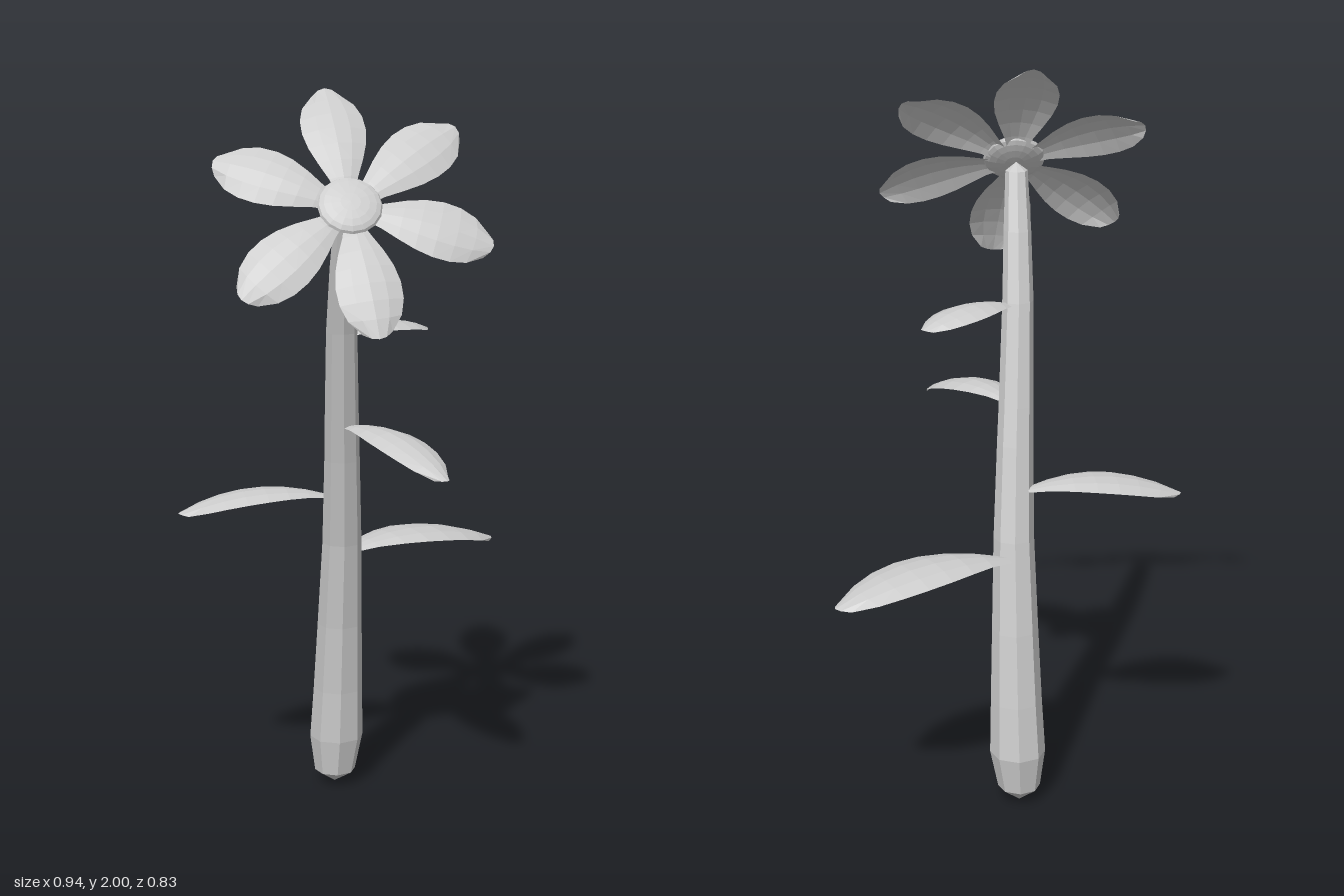
import * as THREE from 'three';

const material = new THREE.MeshStandardMaterial({ color: 0xcccccc, flatShading: true, side: THREE.DoubleSide });

// Surface through a grid of points: rows x cols, fn(row, col) -> Vector3
function gridSurface(rows, cols, fn) {
  const pos = [], idx = [];
  for (let i = 0; i < rows; i++)
    for (let j = 0; j < cols; j++) pos.push(...fn(i, j).toArray());
  for (let i = 0; i < rows - 1; i++)
    for (let j = 0; j < cols - 1; j++) {
      const a = i * cols + j, b = a + 1, c = a + cols, d = c + 1;
      idx.push(a, b, c, b, d, c);
    }
  const g = new THREE.BufferGeometry();
  g.setAttribute('position', new THREE.Float32BufferAttribute(pos, 3));
  g.setIndex(idx);
  g.computeVertexNormals();
  return g;
}

function addMesh(parent, name, geometry) {
  const mesh = new THREE.Mesh(geometry, material);
  mesh.name = name;
  parent.add(mesh);
  return mesh;
}

// Thin arched blade from base to tip, widths given as fractions of halfWidth
function blade(base, tip, up, halfWidth, arch, cup, widths) {
  const along = tip.clone().sub(base);
  const side = new THREE.Vector3().crossVectors(up, along).normalize();
  const n = widths.length, cols = 5;
  return gridSurface(n, cols, (i, j) => {
    const t = i / (n - 1), s = (j / (cols - 1)) * 2 - 1;
    const rounding = 0.06 * s * s * t ** 4; // rounds off the tip
    return base.clone()
      .addScaledVector(along, t - rounding)
      .addScaledVector(side, -s * halfWidth * widths[i])
      .addScaledVector(up, arch * 4 * t * (1 - t) - cup * s * s * widths[i]);
  });
}

export function createModel() {
  const group = new THREE.Group();
  const V = (x, y, z) => new THREE.Vector3(x, y, z);

  // Stem: eight-sided tapered stalk, rings of [x, y, z, radius]
  const rings = [
    [-0.022, 0.005, -0.202, 0], [-0.022, 0.045, -0.194, 0.058], [-0.018, 0.15, -0.193, 0.076],
    [-0.015, 0.3, -0.18, 0.07], [-0.013, 0.5, -0.155, 0.063], [-0.012, 0.75, -0.112, 0.055],
    [-0.019, 1.0, -0.055, 0.049], [-0.023, 1.1, -0.03, 0.047], [-0.032, 1.37, 0.038, 0.042],
    [-0.034, 1.55, 0.093, 0.037], [-0.035, 1.7, 0.147, 0.03], [-0.035, 1.72, 0.16, 0]
  ];
  addMesh(group, 'stem', gridSurface(rings.length, 9, (i, j) => {
    const [x, y, z, r] = rings[i], a = -(j / 8) * Math.PI * 2;
    return V(x + r * Math.cos(a), y, z + r * Math.sin(a));
  }));

  // Leaves: base, tip, half width, arch
  const leafWidths = [0.25, 0.52, 0.78, 0.95, 1, 0.93, 0.73, 0.32];
  const leaves = [
    [V(0.01, 0.712, -0.168), V(0.467, 0.672, -0.39), 0.106, 0.047],
    [V(-0.05, 0.888, -0.108), V(-0.468, 0.857, -0.08), 0.09, 0.04],
    [V(-0.01, 1.105, -0.01), V(0.2, 1.032, 0.35), 0.075, 0.045],
    [V(-0.01, 1.365, 0.03), V(0.228, 1.345, -0.15), 0.072, 0.027]
  ];
  leaves.forEach(([base, tip, w, arch], i) =>
    addMesh(group, `leaf${i + 1}`, blade(base, tip, V(0, 1, 0), w, arch, 0.018, leafWidths)));

  // Flower head: local z is the facing direction, tilted up and forward
  const flower = new THREE.Group();
  flower.name = 'flowerHead';
  flower.position.set(-0.032, 1.713, 0.187);
  flower.rotation.x = -Math.atan2(0.63, 0.78);
  group.add(flower);

  // Petals: angle in degrees, length
  const petalWidths = [0.25, 0.45, 0.7, 0.9, 1, 0.98, 0.82, 0.45];
  const petals = [[95, 0.38], [40, 0.395], [-17, 0.38], [-83, 0.375], [-139, 0.385], [155, 0.373]];
  petals.forEach(([deg, len], i) => {
    const a = THREE.MathUtils.degToRad(deg), c = Math.cos(a), s = Math.sin(a);
    addMesh(flower, `petal${i + 1}`, blade(
      V(c * 0.04, s * 0.04, 0.005), V(c * len, s * len, -0.01),
      V(0, 0, 1), 0.084, 0.027, 0.018, petalWidths));
  });

  // Domed flower centre
  const centre = addMesh(flower, 'flowerCentre', new THREE.SphereGeometry(0.084, 16, 10));
  centre.geometry.rotateX(Math.PI / 2).scale(1, 1, 0.25);
  centre.position.z = 0.016;

  return group;
}
